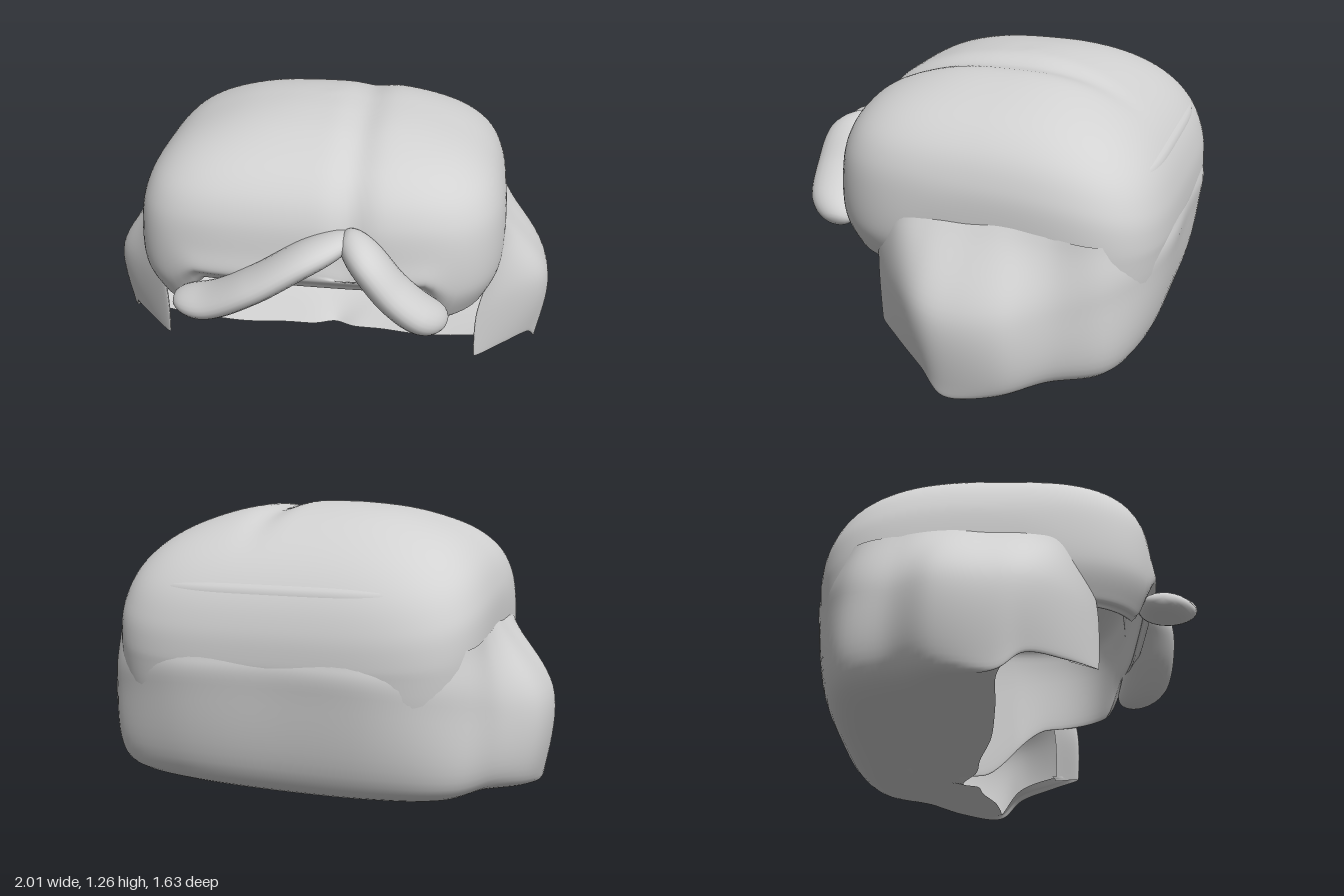
import * as THREE from 'three';
import { mergeVertices } from 'three/addons/utils/BufferGeometryUtils.js';

const hair = new THREE.MeshStandardMaterial({ color: 0xd2d2d2, side: THREE.DoubleSide });
hair.name = 'hair grey';
const smooth = (a, b, t) => THREE.MathUtils.smoothstep(t, a, b);

// Smooth surface from a function f(u, v) -> [x, y, z]
function surface(name, f, nu, nv) {
  const pos = [], idx = [];
  for (let i = 0; i <= nu; i++) {
    for (let j = 0; j <= nv; j++) {
      pos.push(...f(i / nu, j / nv));
      if (i < nu && j < nv) {
        const a = i * (nv + 1) + j, b = a + nv + 1;
        idx.push(a, a + 1, b, b, a + 1, b + 1);
      }
    }
  }
  let g = new THREE.BufferGeometry();
  g.setAttribute('position', new THREE.Float32BufferAttribute(pos, 3));
  g.setIndex(idx);
  g = mergeVertices(g, 1e-4);
  g.computeVertexNormals();
  const m = new THREE.Mesh(g, hair);
  m.name = name;
  return m;
}

// Boxy dome: a profile (scale, height) swept round a superellipse, then folded inside
function crown() {
  const profile = (rim) => {
    const end = 1 - 0.085 * Math.min(1, (0.82 - rim) / 0.4);
    return new THREE.CatmullRomCurve3([
      [0, 1.26], [0.25, 1.25], [0.5, 1.218], [0.74, 1.15], [0.89, 1.063], [0.97, 0.955], [1.0, 0.82],
      [(1 + end) / 2 + 0.03, (0.8 + rim) / 2], [end + 0.01, rim + 0.025], [end - 0.015, rim],
      [end - 0.035, rim + 0.015], [0.92, 0.85], [0.85, 0.99], [0.5, 1.15], [0, 1.2],
    ].map(([s, y]) => new THREE.Vector3(s, y, 0)), false, 'catmullrom', 0.5);
  };
  return surface('crownHair', (u, v) => {
    const a = u * Math.PI * 2 - Math.PI / 2, c = Math.cos(a), d = Math.sin(a);
    const ring = (n) => {
      const k = Math.pow(Math.abs(c) ** n + Math.abs(d) ** n, -1 / n);
      return [c * k, d * k];
    };
    // lower edge: raised brow, low temples, lowest at the back
    const [ex, ez] = ring(4);
    let rim = 0.29 + 0.23 * smooth(-0.1, 0.45, ez);
    rim += 0.16 * smooth(0.75, 0.95, ez) * (1 - smooth(0.58, 0.78, Math.abs(ex)));
    const p = profile(rim).getPoint(v), s = Math.max(0, p.x);
    // corners: squarer behind, softest at the front left
    const square = 4.5 - smooth(-0.2, 0.2, d) * (0.3 + 0.6 * smooth(-0.2, 0.2, c));
    const [cx, cz] = ring(2.4 + (square - 2.4) * Math.min(1, s));
    const x = cx * s * 0.78, w = cz * s;
    let y = p.y, z = -0.1 + w * 0.71;
    if (v < 0.5) {
      // back falls lower than the front
      y -= 0.13 * Math.max(0, -w) ** 2 * smooth(0.6, 0.85, y);
      // parting groove
      const groove = Math.exp(-(((x - 0.16) / 0.07) ** 2));
      y -= 0.025 * groove * smooth(-0.7, -0.2, z);
      z -= 0.018 * groove * smooth(0.4, 0.6, z);
    }
    return [x, y, z];
  }, 160, 90);
}

// Lower hair: side flares, back wall and nape, mirrored about the centre
function lowerHair() {
  // each column: top, widest, bottom corner, under-side middle, under-side edge
  const half = [
    [[0.74, 0.62, 0.2], [0.73, 0.45, 0.22], [0.73, 0.26, 0.22], [0.73, 0.26, 0.21], [0.73, 0.27, 0.2]],
    [[0.72, 0.64, 0.31], [0.68, 0.45, 0.335], [0.68, 0.25, 0.33], [0.69, 0.25, 0.32], [0.7, 0.26, 0.31]],
    [[0.77, 0.75, 0.2], [0.83, 0.5, 0.2], [0.81, 0.245, 0.2], [0.78, 0.24, 0.2], [0.76, 0.27, 0.2]],
    [[0.78, 0.775, 0.06], [0.96, 0.5, 0.05], [0.93, 0.22, 0.05], [0.9, 0.22, 0.04], [0.87, 0.24, 0.04]],
    [[0.78, 0.78, -0.1], [0.993, 0.48, -0.1], [0.97, 0.14, -0.07], [0.94, 0.13, -0.06], [0.9, 0.13, -0.05]],
    [[0.78, 0.79, -0.25], [0.965, 0.49, -0.29], [0.94, 0.16, -0.28], [0.82, 0.11, -0.18], [0.7, 0.085, -0.06]],
    [[0.775, 0.77, -0.42], [0.85, 0.49, -0.45], [0.82, 0.18, -0.44], [0.62, 0.1, -0.33], [0.45, 0.05, -0.08]],
    [[0.725, 0.74, -0.63], [0.73, 0.53, -0.66], [0.69, 0.18, -0.64], [0.45, 0.09, -0.42], [0.24, 0.03, -0.13]],
    [[0.42, 0.71, -0.79], [0.43, 0.57, -0.8], [0.41, 0.18, -0.72], [0.25, 0.08, -0.45], [0.1, 0.02, -0.15]],
  ];
  const centre = [[0, 0.71, -0.8], [0, 0.58, -0.81], [0, 0.18, -0.735], [0, 0.07, -0.46], [0, 0.003, -0.21]];
  const mirror = half.map((col) => col.map(([x, y, z]) => [-x, y, z])).reverse();
  const cols = [...half, centre, ...mirror];
  const curve = (pts) => new THREE.CatmullRomCurve3(pts, false, 'catmullrom', 0.5);
  const rows = centre.map((_, k) => curve(cols.map((c) => new THREE.Vector3(...c[k]))));
  return surface('lowerHair', (u, v) => {
    const p = curve(rows.map((r) => r.getPoint(u))).getPoint(v);
    return [p.x, Math.max(0, p.y), p.z];
  }, 144, 40);
}

// Fringe lock: rounded, tapering sweep with a deep oval section
function lock(name, points, height, depth) {
  const path = new THREE.CatmullRomCurve3(points.map((p) => new THREE.Vector3(...p)));
  return surface(name, (u, v) => {
    const p = path.getPoint(u), t = path.getTangent(u), a = v * Math.PI * 2;
    const taper = Math.pow(Math.max(0, 1 - Math.abs(2 * u - 1) ** 4), 0.5);
    const len = Math.hypot(t.x, t.y), h = Math.sin(a) * height * taper;
    return [p.x - (t.y / len) * h, p.y + (t.x / len) * h, p.z + Math.cos(a) * depth * taper];
  }, 48, 24);
}

export function createModel() {
  const g = new THREE.Group();
  g.name = 'hair';
  g.add(crown(), lowerHair());
  g.add(lock('rightFringe', [
    [-0.56, 0.605, 0.61], [-0.4, 0.63, 0.65], [-0.2, 0.74, 0.685], [0, 0.86, 0.66], [0.18, 0.93, 0.6],
  ], 0.062, 0.125));
  g.add(lock('leftFringe', [
    [0.13, 0.94, 0.6], [0.23, 0.87, 0.66], [0.34, 0.74, 0.67], [0.45, 0.64, 0.65], [0.555, 0.575, 0.6],
  ], 0.072, 0.12));
  return g;
}
